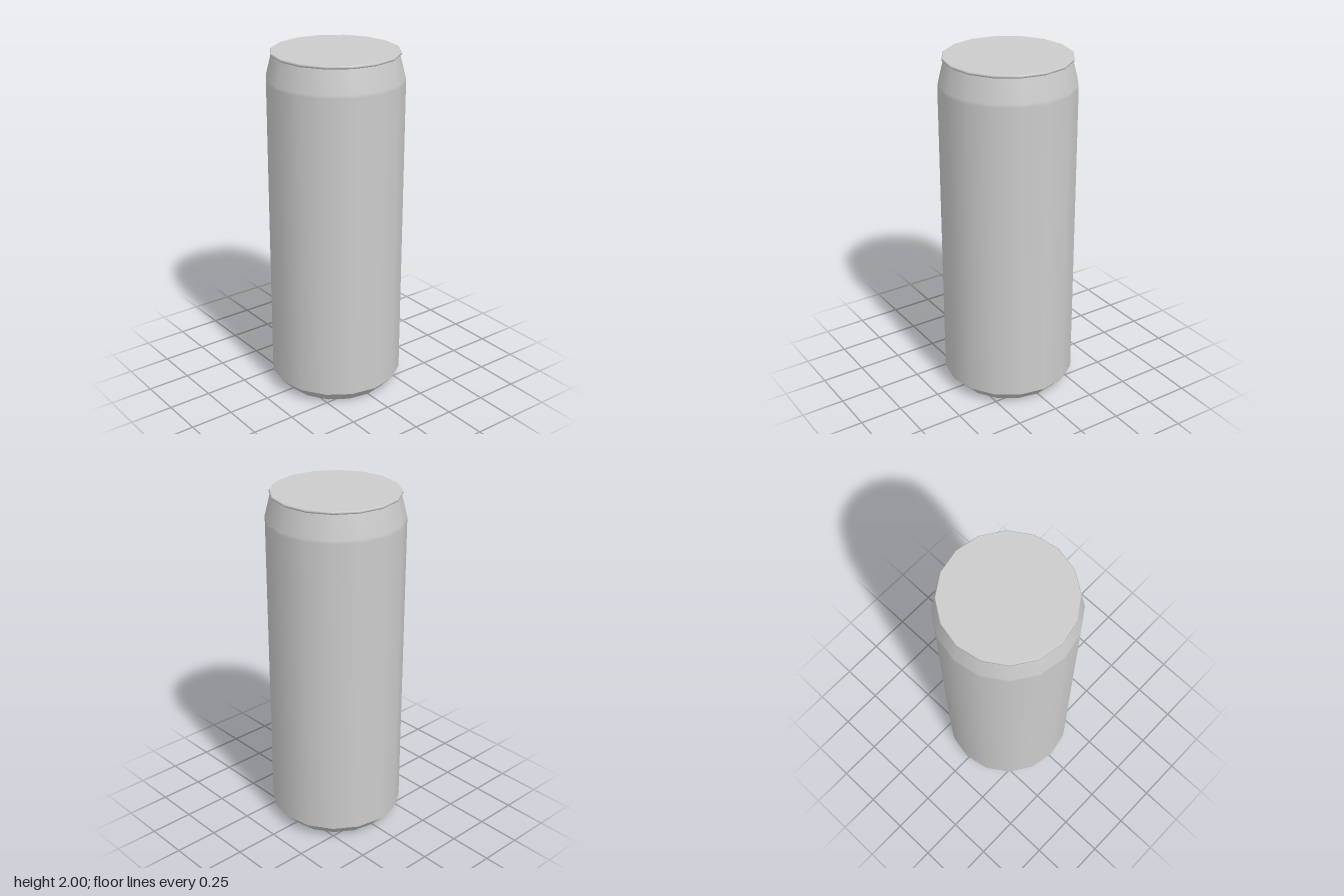
import * as THREE from 'three';

const SIDES = 16;

export function createModel() {
  const group = new THREE.Group();
  const material = new THREE.MeshStandardMaterial({ color: 0xcccccc });

  // Turns a [radius, height] profile, listed bottom to top, around the y axis
  const turn = (name, profile) => {
    const points = profile.map(([r, y]) => new THREE.Vector2(r, y));
    const mesh = new THREE.Mesh(new THREE.LatheGeometry(points, SIDES), material);
    mesh.name = name;
    group.add(mesh);
  };

  // Flat underside
  turn('base', [[0, 0], [0.318, 0]]);
  // Tapered foot
  turn('foot', [[0.318, 0], [0.335, 0.02], [0.385, 0.072]]);
  // Straight wall and sloped shoulder, with loops that keep the bends tight
  turn('body', [[0.385, 0.072], [0.385, 0.13], [0.385, 1.835], [0.384, 1.855], [0.352, 1.983]]);
  // Thin lip around the top
  turn('rim', [[0.352, 1.983], [0.359, 1.988], [0.359, 1.996], [0.355, 2]]);
  // Flat top
  turn('lid', [[0.355, 2], [0, 2]]);

  return group;
}
